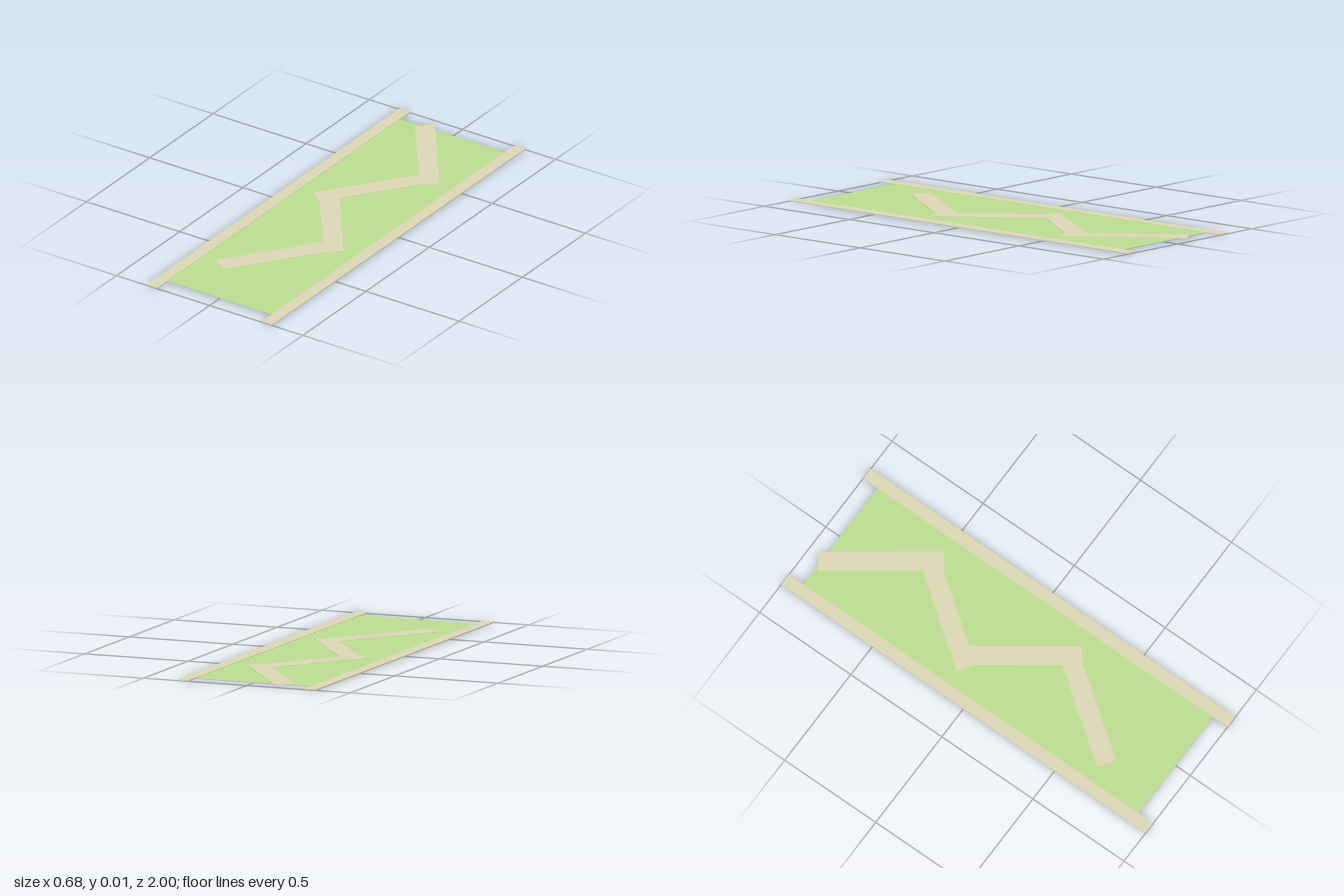
import * as THREE from 'three';

export function createModel() {
  const group = new THREE.Group();
  const grass = new THREE.MeshStandardMaterial({ color: 0xbbdd90 });
  const sand = new THREE.MeshStandardMaterial({ color: 0xdcd8b5 });

  const slab = (name, material, width, length, bottom, top, x, z, turn = 0) => {
    const mesh = new THREE.Mesh(new THREE.BoxGeometry(width, top - bottom, length), material);
    mesh.name = name;
    mesh.position.set(x, (bottom + top) / 2, z);
    mesh.rotation.y = turn;
    group.add(mesh);
  };

  // Lawn between the two kerbs
  slab('lawn', grass, 0.562, 1.84, 0, 0.003, 0, 0);

  // Kerbs run a little past both ends of the lawn
  for (const side of [-1, 1]) {
    slab(side > 0 ? 'leftKerb' : 'rightKerb', sand, 0.057, 2, 0, 0.005, side * 0.309, 0);
  }

  // Zigzag path of four straight slabs, alternating direction
  [-0.706, -0.327, 0.052, 0.441].forEach((z, i) => {
    const side = i % 2 ? -1 : 1;
    slab(`pathSegment${i + 1}`, sand, 0.09, 0.558, 0.002, 0.0052, side * 0.01, z, side * 0.632);
  });

  return group;
}
